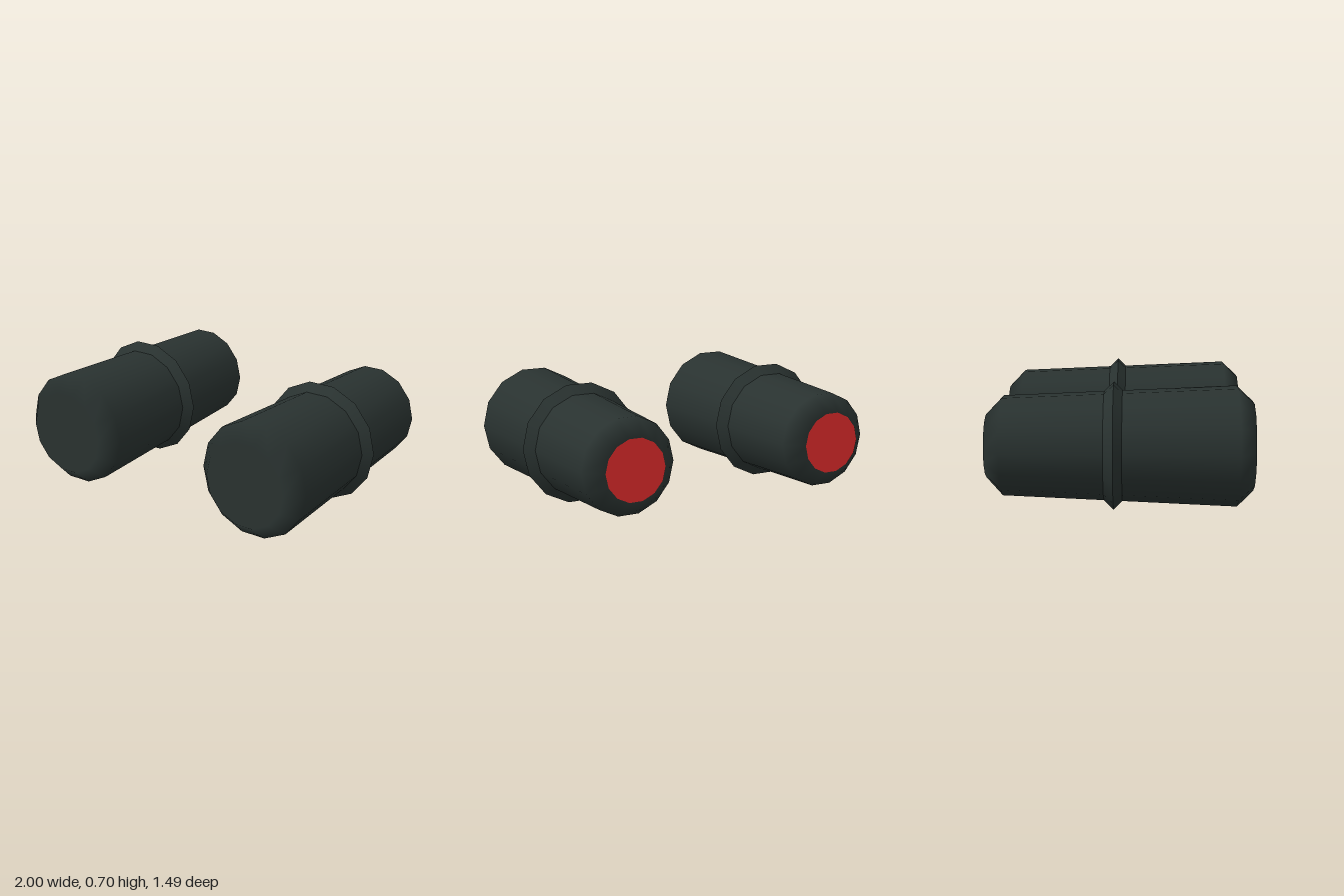
import * as THREE from 'three';

const SIDES = 14;
const BACK = -0.743, FRONT = 0.743;

// Revolve [radius, z] pairs, listed back to front, around the z axis
function revolve(profile) {
  const points = profile.map(([r, z]) => new THREE.Vector2(r, z));
  return new THREE.LatheGeometry(points, SIDES, Math.PI / 2).rotateX(Math.PI / 2);
}

// Flat ends and a straight side, with the bevels shading softly between them
function softenBevels(geometry) {
  const p = geometry.attributes.position, n = geometry.attributes.normal;
  for (let i = 0; i < p.count; i++) {
    const x = p.getX(i), y = p.getY(i), z = p.getZ(i);
    const r = Math.hypot(x, y);
    if (Math.abs(z) > 0.74) n.setXYZ(i, 0, 0, Math.sign(z));
    else n.setXYZ(i, x / r, y / r, 0);
  }
  return geometry;
}

export function createModel() {
  const casing = new THREE.MeshStandardMaterial({ color: 0x293230 });
  casing.name = 'dark casing';
  const red = new THREE.MeshStandardMaterial({ color: 0xe62d2d });
  red.name = 'red lens';

  const parts = [
    // Tapered barrel, closed at the front
    ['barrel', casing, softenBevels(revolve([
      [0.18, BACK], [0.28, -0.65], [0.338, 0.652], [0.249, FRONT], [0, FRONT],
    ]))],
    // Ridge around the middle, with a sharp crest
    ['ridgeBack', casing, revolve([[0.305, -0.087], [0.359, -0.033]])],
    ['ridgeFront', casing, revolve([[0.359, -0.033], [0.307, 0.018]])],
    // Red disc closing the back end
    ['backLens', red, revolve([[0, BACK], [0.18, BACK]])],
  ];

  const model = new THREE.Group();
  for (const side of [1, -1]) {
    const tube = new THREE.Group();
    tube.name = side > 0 ? 'leftTube' : 'rightTube';
    for (const [name, material, geometry] of parts) {
      const mesh = new THREE.Mesh(geometry, material);
      mesh.name = name;
      tube.add(mesh);
    }
    tube.position.set(side * 0.641, 0.35, 0);
    model.add(tube);
  }
  return model;
}
